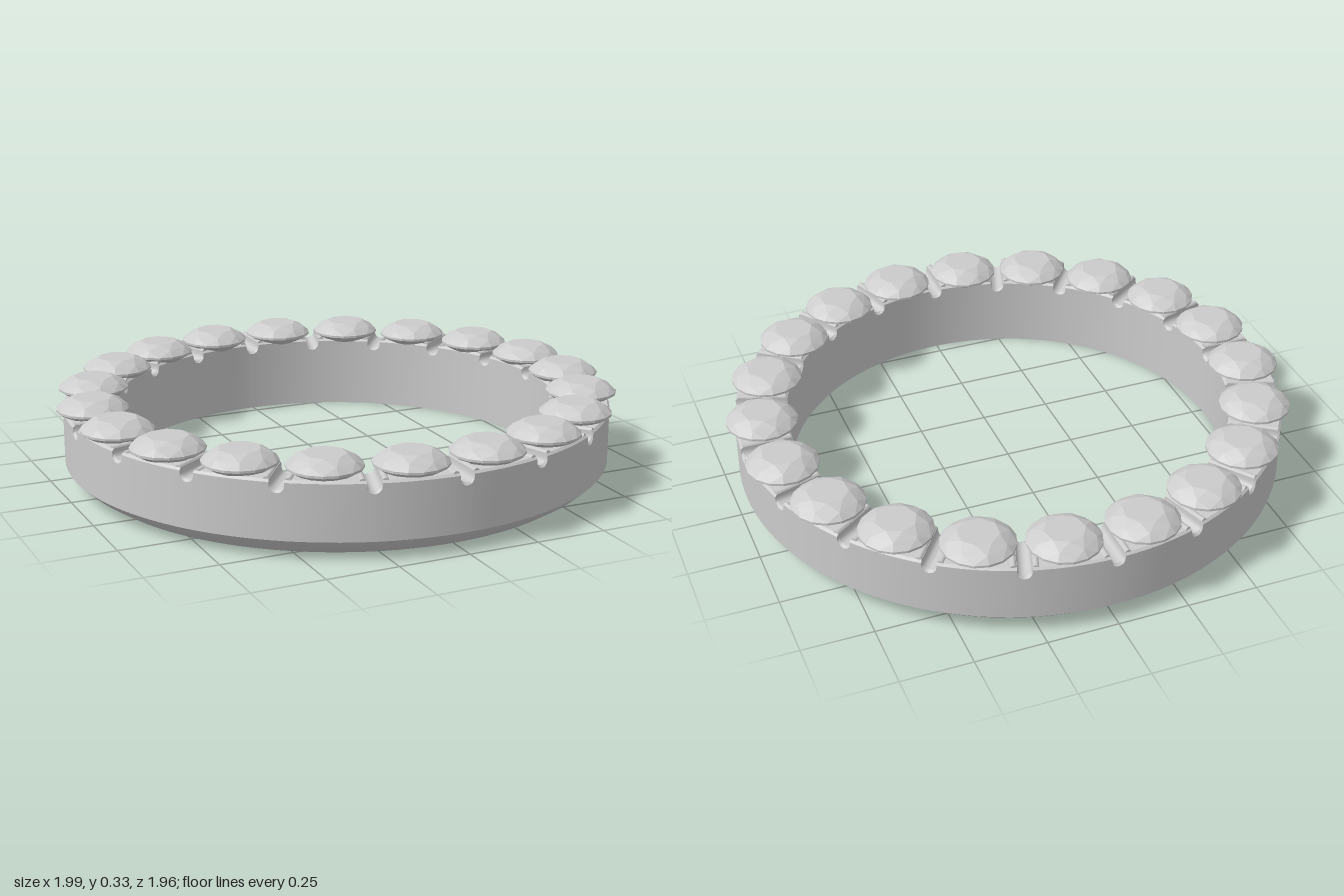
import * as THREE from 'three';
import { toCreasedNormals } from 'three/addons/utils/BufferGeometryUtils.js';
import { ConvexGeometry } from 'three/addons/geometries/ConvexGeometry.js';

const COUNT = 20;
const STEP = (Math.PI * 2) / COUNT;
const TOP = 0.265;
const GROOVE = 0.025;

// Band: a cross-section swept round, its top edge dipping at each groove
function bandGeometry() {
  const slices = []; // { angle, offset along the tangent, top height }
  for (let n = 0; n < COUNT; n++) {
    const angle = n * STEP;
    slices.push({ angle, offset: -GROOVE, top: TOP });
    for (let k = 0; k <= 8; k++) {
      const t = -Math.PI / 2 + (k * Math.PI) / 8;
      slices.push({ angle, offset: GROOVE * Math.sin(t), top: 0.255 - GROOVE * Math.cos(t) });
    }
    slices.push({ angle, offset: GROOVE, top: TOP });
    for (let k = 1; k < 6; k++) slices.push({ angle: angle + (STEP * k) / 6, offset: 0, top: TOP });
  }
  const section = (top) => [
    [0.79, 0], [0.89, 0], [0.937, 0.03], [0.975, 0.065], [0.975, top - 0.008],
    [0.967, top], [0.8, top], [0.79, top - 0.008],
  ];
  const positions = [];
  const index = [];
  const P = section(TOP).length;
  slices.forEach(({ angle, offset, top }, j) => {
    for (const [r, y] of section(top)) {
      const a = angle + Math.asin(offset / r);
      positions.push(r * Math.cos(a), y, r * Math.sin(a));
    }
    const next = (j + 1) % slices.length;
    for (let i = 0; i < P; i++) {
      const k = (i + 1) % P;
      const a = j * P + i, b = j * P + k, c = next * P + i, d = next * P + k;
      index.push(a, b, c, b, d, c);
    }
  });
  const geo = new THREE.BufferGeometry();
  geo.setAttribute('position', new THREE.Float32BufferAttribute(positions, 3));
  geo.setIndex(index);
  return toCreasedNormals(geo, 0.45);
}

// Round brilliant stone: table, crown, girdle and pavilion
function stoneGeometry() {
  const points = [new THREE.Vector3(0, 0.205, 0)];
  const ring = (sides, r, y, turn = 0) => {
    for (let i = 0; i < sides; i++) {
      const a = ((i + turn) / sides) * Math.PI * 2;
      points.push(new THREE.Vector3(r * Math.cos(a), y, r * Math.sin(a)));
    }
  };
  ring(8, 0.07, 0.326);
  ring(8, 0.105, 0.309, 0.5);
  ring(16, 0.126, 0.288);
  ring(16, 0.126, 0.28);
  ring(8, 0.09, 0.261, 0.5);
  return new ConvexGeometry(points);
}

export function createModel() {
  const group = new THREE.Group();
  const material = new THREE.MeshStandardMaterial({ color: 0xcccccc });
  const add = (name, geometry) => {
    const mesh = new THREE.Mesh(geometry, material);
    mesh.name = name;
    group.add(mesh);
    return mesh;
  };

  add('band', bandGeometry());

  const stone = stoneGeometry();
  const rib = new THREE.CylinderGeometry(0.011, 0.011, 0.17, 10).rotateZ(Math.PI / 2);
  for (let n = 0; n < COUNT; n++) {
    // Stones sit midway between the grooves
    const a = (n + 0.5) * STEP;
    const gem = add('stone', stone);
    gem.position.set(0.88 * Math.cos(a), 0, 0.866 * Math.sin(a));
    gem.rotation.y = -a;

    // Slim rounded ribs flank each groove
    const g = n * STEP;
    for (const side of [-1, 1]) {
      const mesh = add('grooveRib', rib);
      mesh.position.set(
        0.882 * Math.cos(g) - side * 0.036 * Math.sin(g),
        0.261,
        0.882 * Math.sin(g) + side * 0.036 * Math.cos(g)
      );
      mesh.rotation.y = -g;
    }
  }
  return group;
}
